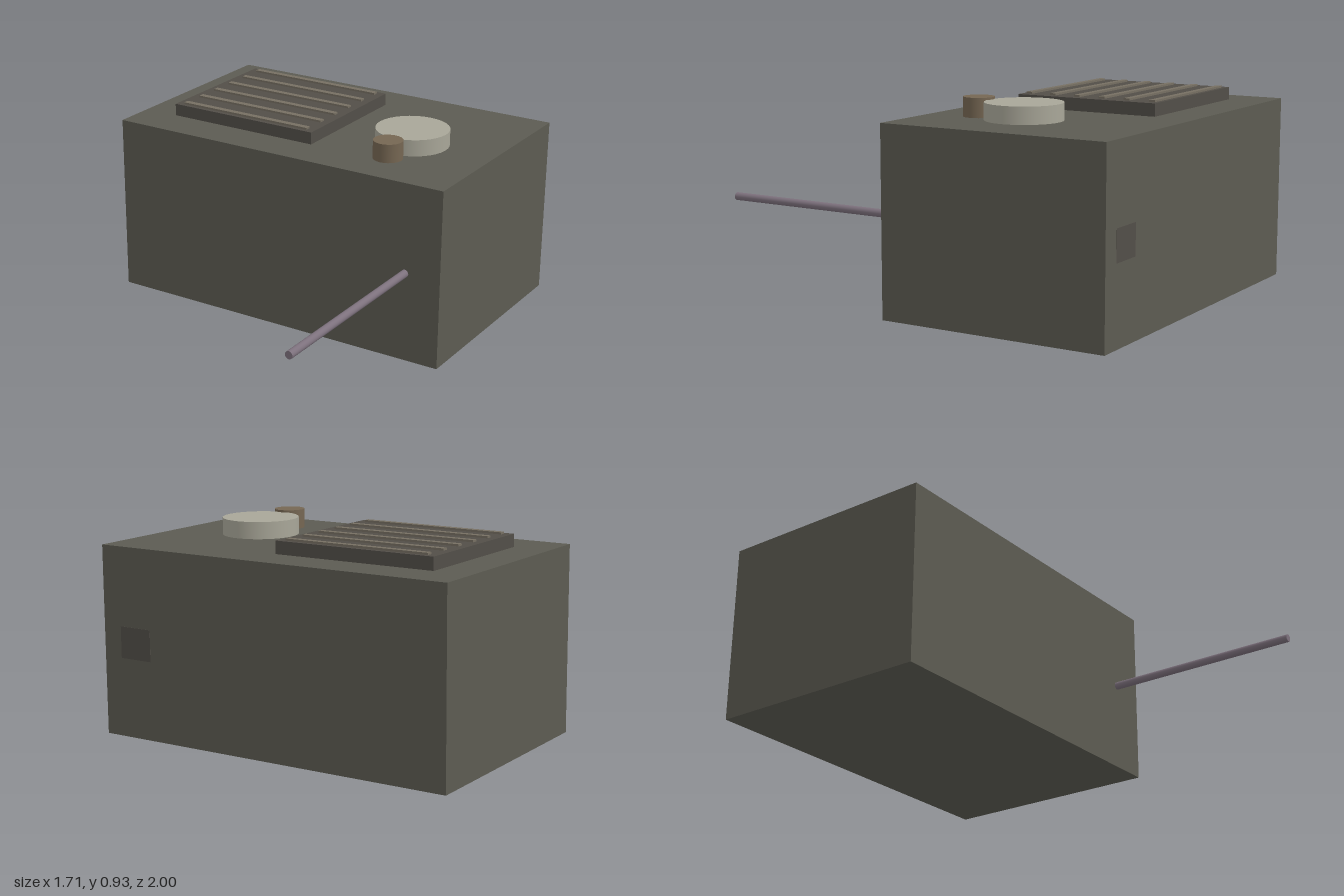
import * as THREE from 'three';

const BODY_TOP = 0.84, BODY_FRONT = 0.065, BODY_BACK = -0.999;

export function createModel() {
  const model = new THREE.Group();
  model.name = 'boxWithDial';

  const material = (color) => new THREE.MeshStandardMaterial({ color });
  const add = (name, geometry, mat, x, y, z, parent = model) => {
    const mesh = new THREE.Mesh(geometry, mat);
    mesh.name = name;
    mesh.position.set(x, y, z);
    parent.add(mesh);
    return mesh;
  };

  const bodyMat = material(0x5c5b52);
  const grilleMat = material(0x524e48);
  const slatMat = material(0x766f62);
  const dialMat = material(0xa8a698);
  const knobMat = material(0x756652);
  const rodMat = material(0x7d717d);

  // Main box
  const depth = BODY_FRONT - BODY_BACK;
  add('body', new THREE.BoxGeometry(1.71, BODY_TOP, depth), bodyMat,
    0, BODY_TOP / 2, (BODY_FRONT + BODY_BACK) / 2);

  // Raised grille with six thin slats
  const grille = new THREE.Group();
  grille.name = 'grille';
  grille.position.set(-0.305, BODY_TOP, -0.47);
  model.add(grille);
  add('grillePlate', new THREE.BoxGeometry(0.76, 0.057, 0.68), grilleMat, 0, 0.0285, 0, grille);
  const slatGeometry = new THREE.BoxGeometry(0.685, 0.02, 0.028);
  for (let i = 0; i < 6; i++) {
    add('slat', slatGeometry, slatMat, 0, 0.056, -0.306 + i * 0.1225, grille);
  }

  // Round dial and the smaller knob in front of it
  add('dial', new THREE.CylinderGeometry(0.17, 0.17, 0.076, 32), dialMat, 0.455, BODY_TOP + 0.038, -0.39);
  add('knob', new THREE.CylinderGeometry(0.068, 0.068, 0.086, 24), knobMat, 0.455, BODY_TOP + 0.043, -0.165);

  // Rod reaching forward from the front face
  const rodLength = 1 - BODY_FRONT + 0.02;
  add('rod', new THREE.CylinderGeometry(0.018, 0.018, rodLength, 16), rodMat,
    0.682, 0.42, 1 - rodLength / 2).rotation.x = Math.PI / 2;

  // Flush panel in the back face, in line with the rod
  add('backPanel', new THREE.BoxGeometry(0.16, 0.14, 0.04), grilleMat, 0.685, 0.42, -0.98);

  return model;
}
